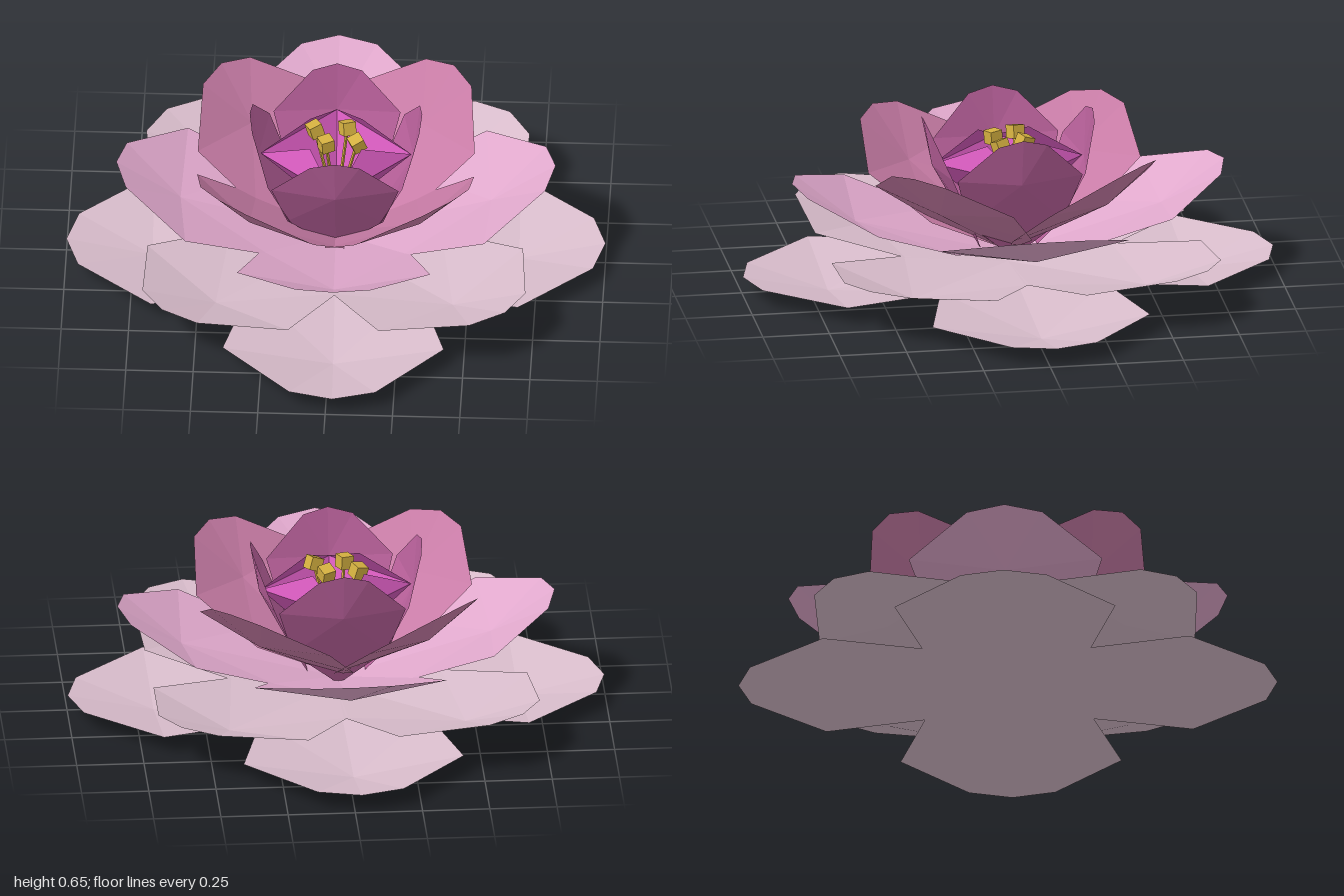
import * as THREE from 'three';

const YAW = 0.025;

const material = (color) =>
  new THREE.MeshStandardMaterial({ color, flatShading: true, side: THREE.DoubleSide });

function triangles(positions) {
  const geometry = new THREE.BufferGeometry();
  geometry.setAttribute('position', new THREE.Float32BufferAttribute(positions, 3));
  geometry.computeVertexNormals();
  return geometry;
}

// Unit petal along +z: an outline (half-width, length) fanned around a sunken middle point.
function petalGeometry() {
  const half = [[0.31, 0.30], [0.41, 0.68], [0.16, 0.955]];
  const outline = [[0, 0], ...half, [0, 1], ...half.map(([x, z]) => [-x, z]).reverse()];
  return triangles(outline.flatMap(([x, z], i) => {
    const [nextX, nextZ] = outline[(i + 1) % outline.length];
    return [0, -0.07, 0.68, nextX, 0, nextZ, x, 0, z];
  }));
}

// Bud petal along +z: a triangle rising from the centre and a tip folded back inwards.
function budPetalGeometry() {
  const base = [0, 0.2, 0];
  const left = [0.198, 0.47, 0.198];
  const right = [-0.198, 0.47, 0.198];
  const tip = [0, 0.56, 0.135];
  return triangles([...base, ...right, ...left, ...left, ...right, ...tip].flat());
}

export function createModel() {
  const flower = new THREE.Group();
  flower.name = 'flower';
  const petal = petalGeometry();

  // Petal rings from the flat outer one to the steep inner one
  const rings = [
    { name: 'outerPetals', size: 1.0, tilt: 0, radius: 0, y: 0.07, color: 0xd8bccb },
    { name: 'lowerPetals', size: 0.91, tilt: 8.8, radius: 0, y: 0.07, color: 0xd8bccb },
    { name: 'middlePetals', size: 0.875, tilt: 21.4, radius: 0, y: 0.105, color: 0xe0a8cc },
    { name: 'upperPetals', size: 0.76, tilt: 36.6, radius: 0, y: 0.115, color: 0xc87ca6 },
    { name: 'innerPetals', size: 0.575, tilt: 67.5, radius: 0.1, y: 0.12, color: 0xb8609a },
  ];
  rings.forEach(({ name, size, tilt, radius, y, color }, layer) => {
    const ring = new THREE.Group();
    ring.name = name;
    const mat = material(color);
    for (let i = 0; i < 4; i++) {
      const angle = (i + (layer % 2) / 2) * Math.PI / 2;
      const mesh = new THREE.Mesh(petal, mat);
      mesh.name = 'petal';
      mesh.rotation.set(-THREE.MathUtils.degToRad(tilt), angle, 0, 'YXZ');
      mesh.scale.setScalar(size);
      mesh.position.set(radius * Math.sin(angle), y, radius * Math.cos(angle));
      ring.add(mesh);
    }
    ring.rotation.y = YAW;
    flower.add(ring);
  });

  // Half-closed bud with a star-shaped opening
  const bud = new THREE.Group();
  bud.name = 'bud';
  const budPetal = budPetalGeometry();
  const budMaterial = material(0xd058b8);
  for (let i = 0; i < 4; i++) {
    const mesh = new THREE.Mesh(budPetal, budMaterial);
    mesh.name = 'budPetal';
    mesh.rotation.y = (i + 0.5) * Math.PI / 2;
    bud.add(mesh);
  }
  bud.rotation.y = YAW;
  flower.add(bud);

  // Stamens: small blocks on thin filaments
  const stamens = new THREE.Group();
  stamens.name = 'stamens';
  const blockGeometry = new THREE.BoxGeometry(0.05, 0.05, 0.05);
  const stamenMaterial = material(0xd4b040);
  [[-0.08, -0.04], [0.04, -0.055], [0.08, 0.04], [-0.035, 0.05]].forEach(([x, z], i) => {
    const head = new THREE.Vector3(x, 0.55, z);
    const block = new THREE.Mesh(blockGeometry, stamenMaterial);
    block.name = 'stamen';
    block.position.copy(head);
    block.rotation.set(z * 4, 0.45 + i * Math.PI / 2, -x * 4);
    const stem = new THREE.LineCurve3(new THREE.Vector3(0, 0.21, 0), head);
    const filament = new THREE.Mesh(new THREE.TubeGeometry(stem, 1, 0.006, 4), stamenMaterial);
    filament.name = 'filament';
    stamens.add(block, filament);
  });
  flower.add(stamens);

  return flower;
}
